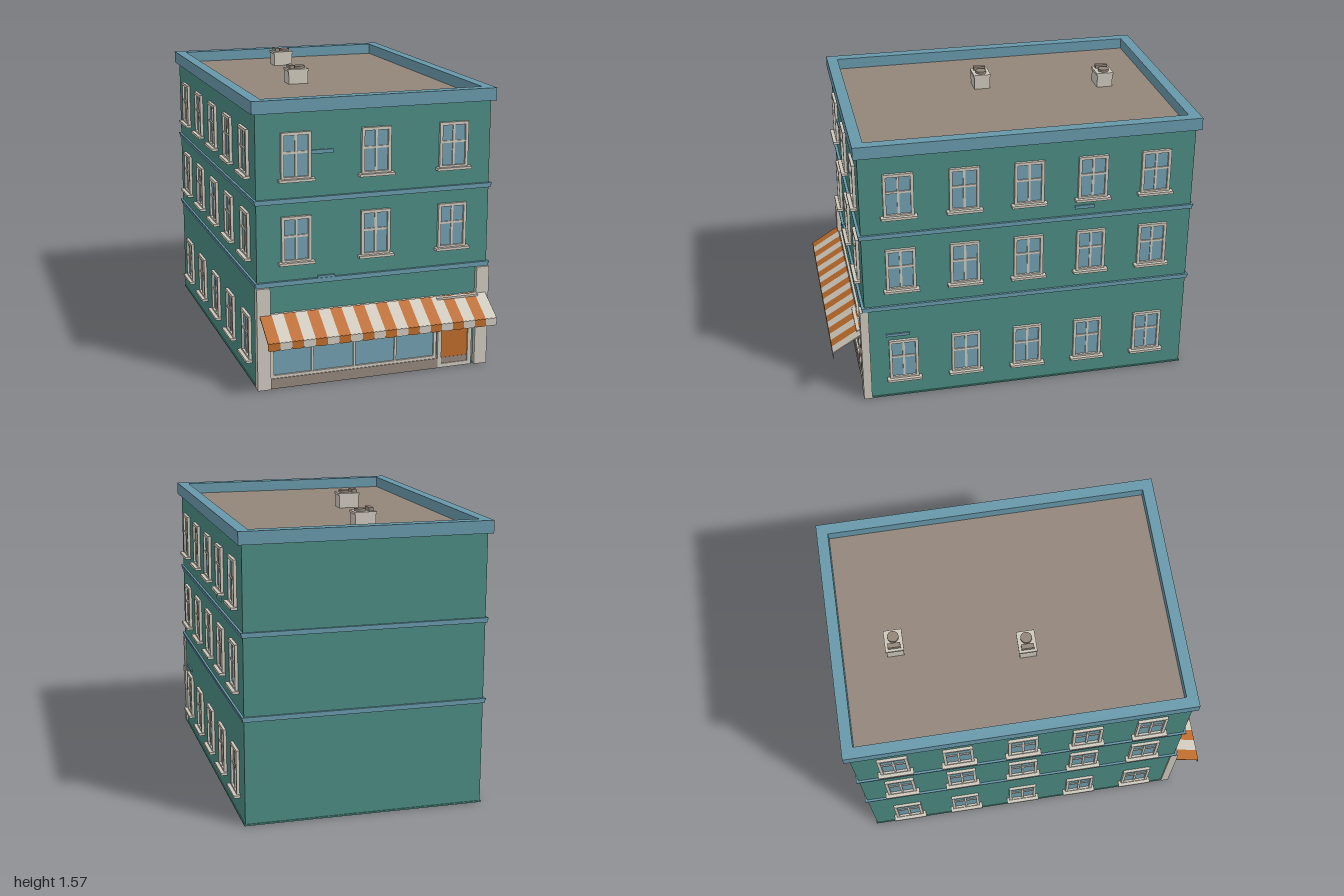
import * as THREE from 'three';

const mat = (name, color) => {
  const m = new THREE.MeshStandardMaterial({ color });
  m.name = name;
  return m;
};

export function createModel() {
  const wall = mat('green wall', 0x4a8a81);
  const trim = mat('blue trim', 0x6798aa);
  const glass = mat('window glass', 0x709dad);
  const cream = mat('cream stone', 0xcdc7bb);
  const brown = mat('taupe roof', 0x92857a);
  const orange = mat('orange', 0xbb6a2a);

  const model = new THREE.Group();
  model.name = 'shopBuilding';

  const add = (parent, name, geo, material) => {
    const mesh = new THREE.Mesh(geo, material);
    mesh.name = name;
    parent.add(mesh);
    return mesh;
  };
  // Box given by its limits on each axis
  const box = (parent, name, material, x0, x1, y0, y1, z0, z1) => {
    const mesh = add(parent, name, new THREE.BoxGeometry(x1 - x0, y1 - y0, z1 - z0), material);
    mesh.position.set((x0 + x1) / 2, (y0 + y1) / 2, (z0 + z1) / 2);
    return mesh;
  };
  const rect = (Type, x0, x1, y0, y1) => {
    const s = new Type();
    s.moveTo(x0, y0);
    s.lineTo(x1, y0);
    s.lineTo(x1, y1);
    s.lineTo(x0, y1);
    s.closePath();
    return s;
  };
  // Rectangular ring of the given border width
  const ring = (x0, x1, y0, y1, border, depth) => {
    const s = rect(THREE.Shape, x0, x1, y0, y1);
    s.holes.push(rect(THREE.Path, x0 + border, x1 - border, y0 + border, y1 - border));
    return new THREE.ExtrudeGeometry(s, { depth, bevelEnabled: false });
  };

  // Main block, floor bands, roof and parapet
  box(model, 'walls', wall, -0.64, 0.64, 0, 1.46, -0.975, 0.82);
  box(model, 'wallFoot', wall, -0.645, 0.645, 0, 0.008, -0.98, 0.825);
  for (const y of [0.555, 0.99]) {
    box(model, 'floorBand', trim, -0.648, 0.648, y, y + 0.02, -0.983, 0.831);
    box(model, 'floorBandCap', trim, -0.652, 0.652, y + 0.016, y + 0.026, -0.987, 0.835);
  }
  box(model, 'roof', brown, -0.61, 0.61, 1.45, 1.465, -0.95, 0.79);
  const parapet = add(model, 'parapet', ring(-0.662, 0.662, -0.842, 1, 0.06, 0.067), trim);
  parapet.rotation.x = -Math.PI / 2;
  parapet.position.y = 1.458;

  // Window with its sill, facing +z, origin at the bottom centre on the wall
  const makeWindow = (x, y, z, turn) => {
    const g = new THREE.Group();
    g.name = 'window';
    box(g, 'glass', glass, -0.07, 0.07, 0.01, 0.235, -0.002, 0.004);
    add(g, 'frame', ring(-0.08, 0.08, 0, 0.245, 0.016, 0.016), cream);
    box(g, 'verticalBar', cream, -0.006, 0.006, 0.01, 0.235, 0, 0.01);
    box(g, 'crossBar', cream, -0.07, 0.07, 0.134, 0.146, 0, 0.01);
    box(g, 'sill', cream, -0.096, 0.096, -0.008, 0.006, 0, 0.035);
    g.position.set(x, y, z);
    g.rotation.y = turn;
    model.add(g);
  };
  const floors = [0.115, 0.676, 1.112];
  floors.forEach((y, floor) => {
    if (floor > 0) for (const x of [-0.43, 0, 0.43]) makeWindow(x, y, 0.82, 0);
    for (let i = 0; i < 5; i++) {
      const z = 0.617 - i * 0.345;
      for (const side of [-1, 1]) makeWindow(side * 0.64, y, z, side * Math.PI / 2);
    }
  });

  // Shop front: pillars, plinth, large windows and door
  for (const side of [-1, 1]) {
    const p = box(model, 'pillar', cream, -0.036, 0.036, 0, 0.555, 0.8, 0.845);
    p.position.x = side * 0.612;
  }
  box(model, 'plinth', brown, -0.576, 0.362, 0, 0.056, 0.81, 0.838);
  box(model, 'shopGlass', glass, -0.565, 0.345, 0.06, 0.4, 0.815, 0.824);
  const shopFrame = add(model, 'shopFrame', ring(-0.574, 0.354, 0.056, 0.41, 0.016, 0.014), cream);
  shopFrame.position.z = 0.82;
  for (const x of [-0.346, -0.114, 0.118]) {
    box(model, 'shopMullion', cream, x - 0.006, x + 0.006, 0.06, 0.4, 0.82, 0.832);
  }
  const doorFrame = add(model, 'doorFrame', ring(0.362, 0.56, 0, 0.4, 0.022, 0.016), cream);
  doorFrame.position.z = 0.82;
  box(model, 'door', orange, 0.384, 0.538, 0.05, 0.38, 0.815, 0.829);
  box(model, 'doorKickPlate', brown, 0.384, 0.538, 0.022, 0.056, 0.815, 0.831);

  // Striped awning with a hanging flap under each stripe
  const awning = new THREE.Group();
  awning.name = 'awning';
  model.add(awning);
  const stripes = 20, w = 1.262 / stripes;
  const backZ = 0.838, frontZ = 0.997, topY = 0.41, lowY = 0.313;
  const slope = Math.hypot(frontZ - backZ, topY - lowY);
  const stripeGeo = new THREE.BoxGeometry(w, 0.006, slope);
  const flap = new THREE.Shape();
  flap.moveTo(-w / 2, 0);
  flap.lineTo(-w / 2, -0.03);
  flap.quadraticCurveTo(-w / 2, -0.04, -w / 2 + 0.012, -0.04);
  flap.lineTo(w / 2 - 0.012, -0.04);
  flap.quadraticCurveTo(w / 2, -0.04, w / 2, -0.03);
  flap.lineTo(w / 2, 0);
  const flapGeo = new THREE.ExtrudeGeometry(flap, { depth: 0.005, bevelEnabled: false, curveSegments: 4 });
  for (let i = 0; i < stripes; i++) {
    const x = -0.633 + (i + 0.5) * w;
    const material = i % 2 ? cream : orange;
    const s = add(awning, 'awningStripe', stripeGeo, material);
    s.position.set(x, (topY + lowY) / 2, (backZ + frontZ) / 2);
    s.rotation.x = Math.atan2(topY - lowY, frontZ - backZ);
    add(awning, 'awningFlap', flapGeo, material).position.set(x, lowY + 0.001, 0.995);
  }

  // Small ledges on the walls
  box(model, 'doorLedge', cream, 0.342, 0.58, 0.393, 0.409, 0.82, 0.862);
  box(model, 'frontLedge', trim, -0.35, -0.23, 1.238, 1.258, 0.82, 0.828);
  box(model, 'frontLedge', trim, -0.315, -0.222, 0.58, 0.592, 0.82, 0.832);
  box(model, 'sideLedge', trim, 0.64, 0.648, 0.386, 0.402, 0.58, 0.71);
  box(model, 'sideLedge', trim, 0.64, 0.648, 1.053, 1.072, -0.43, -0.325);

  // Rooftop air units
  for (const [x, z] of [[-0.07, -0.665], [-0.182, 0.018]]) {
    const unit = new THREE.Group();
    unit.name = 'airUnit';
    box(unit, 'unitCase', cream, -0.056, 0.056, 0, 0.083, -0.044, 0.044);
    box(unit, 'unitLid', cream, -0.06, 0.06, 0.07, 0.083, -0.048, 0.048);
    box(unit, 'unitVent', brown, -0.046, -0.02, 0.08, 0.103, -0.033, 0.033);
    const fan = add(unit, 'unitFan', new THREE.CylinderGeometry(0.03, 0.03, 0.016, 16), brown);
    fan.position.set(0.018, 0.089, 0);
    unit.position.set(x, 1.465, z);
    model.add(unit);
  }
  return model;
}
